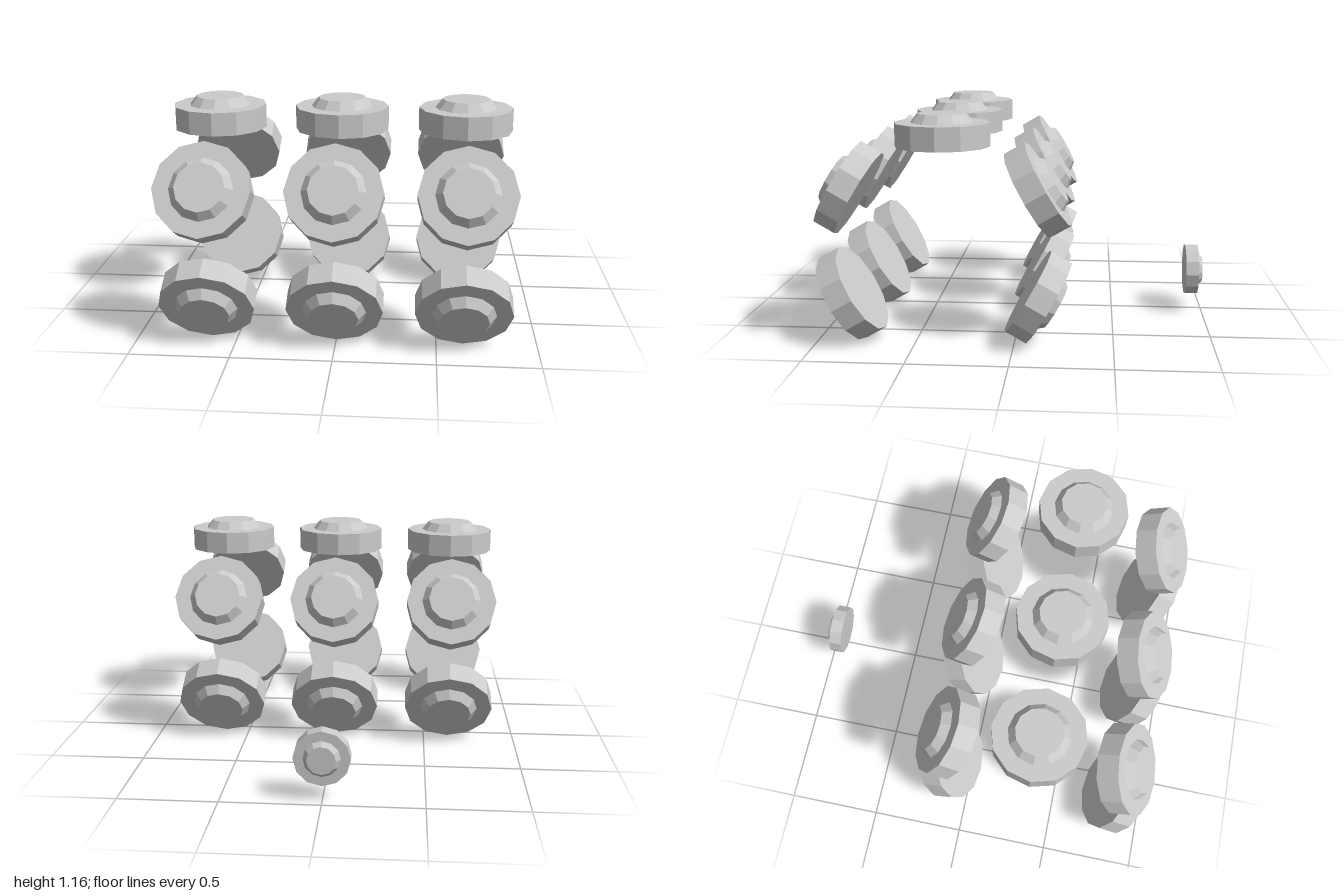
import * as THREE from 'three';

const material = new THREE.MeshStandardMaterial({ color: 0xcccccc, flatShading: true });
const SIDES = 12;
const DISC_HEIGHT = 0.118;
const CAP_HEIGHT = 0.044;

// Stepped disc standing on its own origin, facing +y
function createButton(name) {
  const button = new THREE.Group();
  button.name = name;

  const disc = new THREE.Mesh(new THREE.CylinderGeometry(0.238, 0.238, DISC_HEIGHT, SIDES), material);
  disc.name = 'disc';
  disc.position.y = DISC_HEIGHT / 2;

  const cap = new THREE.Mesh(new THREE.CylinderGeometry(0.121, 0.156, CAP_HEIGHT, SIDES), material);
  cap.name = 'cap';
  cap.position.y = DISC_HEIGHT + CAP_HEIGHT / 2;

  button.add(disc, cap);
  return button;
}

export function createModel() {
  const model = new THREE.Group();
  model.name = 'buttonArray';

  // Three hexagonal rings of discs, open at the bottom
  const ringRadius = 0.488;
  const ringY = 0.512;
  const ringZ = 0.356;
  const places = { top: 0, upperFront: 60, lowerFront: 120, lowerBack: -120, upperBack: -60 };
  const columns = { right: -0.63, middle: 0, left: 0.63 };

  for (const [column, x] of Object.entries(columns)) {
    const ring = new THREE.Group();
    ring.name = `${column}Ring`;
    ring.position.set(x, ringY, ringZ);
    for (const [place, degrees] of Object.entries(places)) {
      const a = THREE.MathUtils.degToRad(degrees);
      const button = createButton(`${place}Button`);
      button.position.set(0, ringRadius * Math.cos(a), ringRadius * Math.sin(a));
      button.rotation.x = a;
      ring.add(button);
    }
    model.add(ring);
  }

  // Small separate disc facing backwards
  const rear = createButton('smallRearButton');
  rear.scale.setScalar(0.588);
  rear.rotation.x = -Math.PI / 2;
  rear.position.set(0, 0.23, -0.905);
  model.add(rear);

  return model;
}
